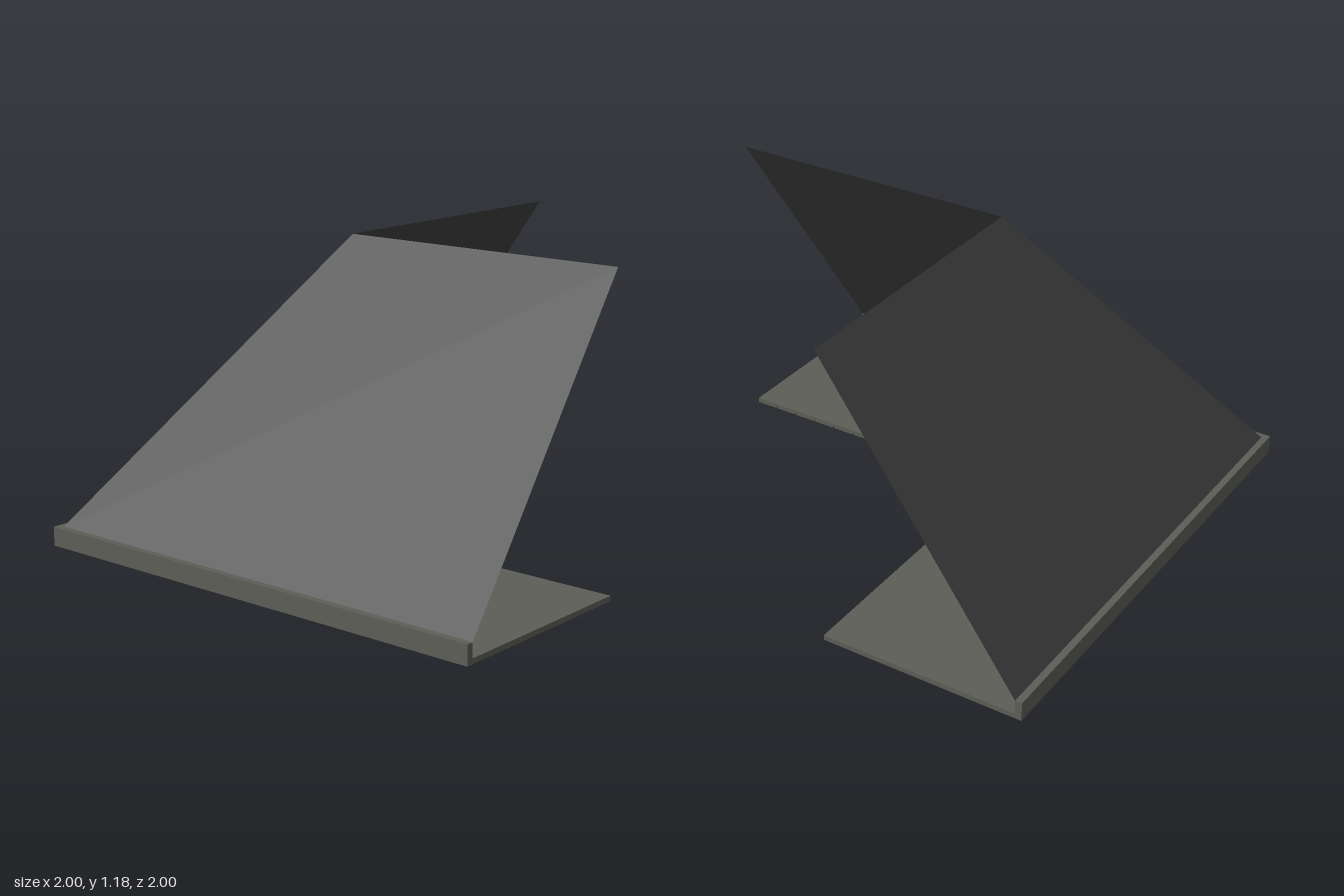
import * as THREE from 'three';

const OUT = 1, FASCIA = 0.973, RIDGE = 0.187; // distances from the centre lines
const EAVE_Y = 0.075, RIDGE_Y = 1.183, SOFFIT_Y = 0.02;

export function createModel() {
  const group = new THREE.Group();
  const roofMat = new THREE.MeshStandardMaterial({ color: 0x404040, side: THREE.DoubleSide });
  roofMat.name = 'dark roof';
  const trimMat = new THREE.MeshStandardMaterial({ color: 0x5e5e57 });
  trimMat.name = 'grey trim';

  const add = (name, geometry, material) => {
    const mesh = new THREE.Mesh(geometry, material);
    mesh.name = name;
    group.add(mesh);
  };

  // box between two corners
  const box = (name, [x0, y0, z0], [x1, y1, z1]) => {
    const g = new THREE.BoxGeometry(x1 - x0, y1 - y0, z1 - z0);
    g.translate((x0 + x1) / 2, (y0 + y1) / 2, (z0 + z1) / 2);
    add(name, g, trimMat);
  };

  // flat sloping panel with four corners
  const panel = (name, corners) => {
    const g = new THREE.BufferGeometry();
    g.setAttribute('position', new THREE.Float32BufferAttribute(corners.flat(), 3));
    g.setIndex([0, 1, 2, 0, 2, 3]);
    g.computeVertexNormals();
    add(name, g, roofMat);
  };

  // two roof slopes meeting at the hip
  const hipLow = [-FASCIA, EAVE_Y, FASCIA], hipHigh = [-RIDGE, RIDGE_Y, RIDGE];
  panel('frontSlope', [hipLow, [OUT, EAVE_Y, FASCIA], [OUT, RIDGE_Y, RIDGE], hipHigh]);
  panel('sideSlope', [[-FASCIA, EAVE_Y, -OUT], hipLow, hipHigh, [-RIDGE, RIDGE_Y, -OUT]]);

  // fascia boards along the eaves
  box('frontFascia', [-OUT, 0, FASCIA], [OUT, EAVE_Y, OUT]);
  box('sideFascia', [-OUT, 0, -OUT], [-FASCIA, EAVE_Y, FASCIA]);

  // soffit backing
  const mid = 0.008;
  box('frontSoffit', [-FASCIA, mid, RIDGE], [OUT, SOFFIT_Y, FASCIA]);
  box('sideSoffit', [-FASCIA, mid, -OUT], [-RIDGE, SOFFIT_Y, RIDGE]);

  // soffit planks laid across each arm, with narrow grooves between
  const planks = (start, end, count, place) => {
    const pitch = (end - start) / count, gap = 0.006;
    for (let i = 0; i < count; i++) {
      const a = start + i * pitch;
      place(a + (i ? gap : 0), a + pitch);
    }
  };
  planks(-FASCIA, OUT, 20, (a, b) => box('frontPlank', [a, 0, RIDGE], [b, mid, FASCIA]));
  planks(-OUT, RIDGE, 12, (a, b) => box('sidePlank', [-FASCIA, 0, a], [-RIDGE, mid, b]));

  return group;
}
